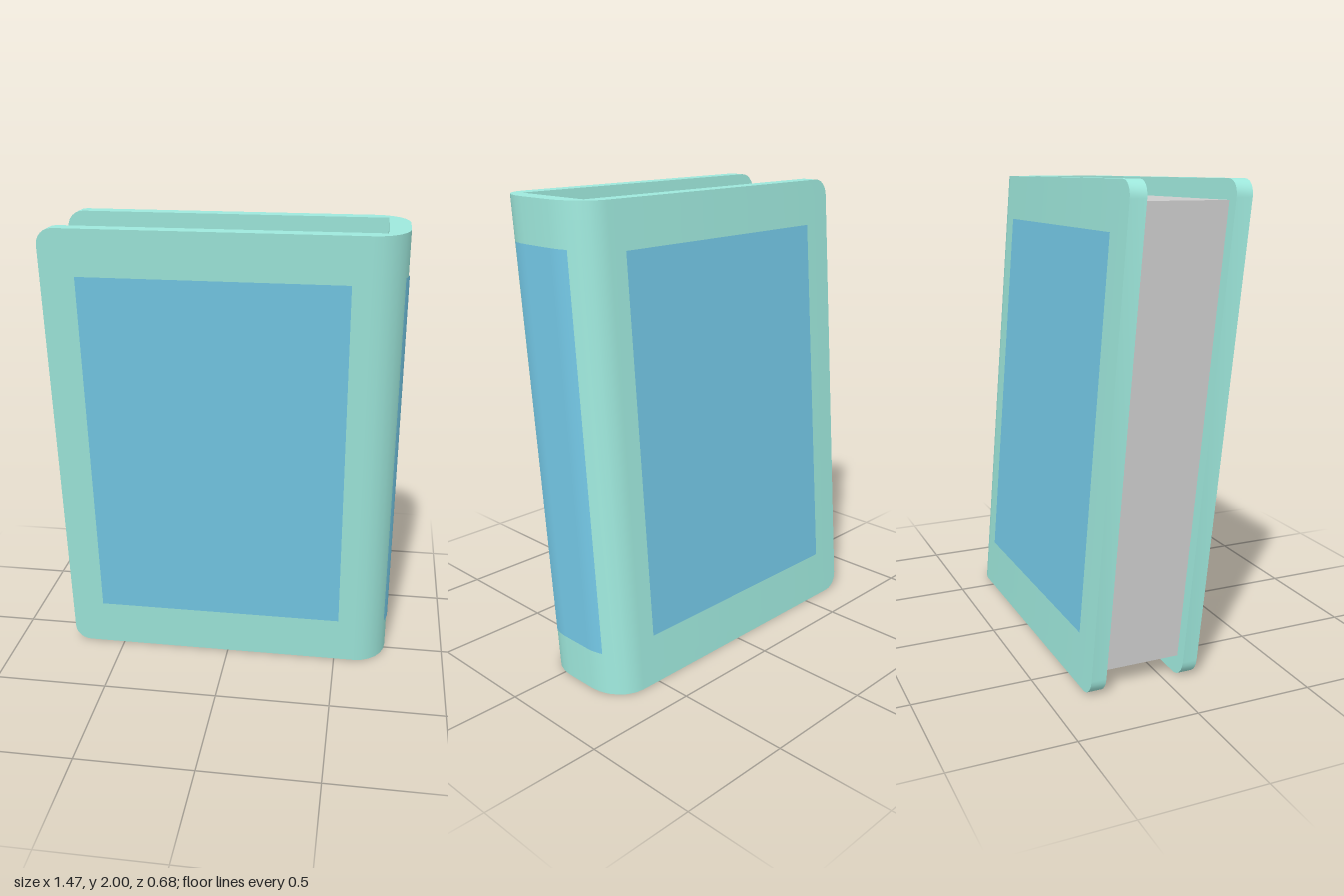
import * as THREE from 'three';
import { toCreasedNormals } from 'three/addons/utils/BufferGeometryUtils.js';

const H = 2;              // book height
const HALF = 0.245;       // nominal half thickness
const INNER = 0.178;      // half thickness between the boards
const FORE = -0.735;      // fore-edge of the boards
const CORNER = 0.07;      // rounded board corners
const SPINE = { x: 0.59, z: 0.075, rx: 0.143, rz: 0.17 };

// Lean the upright book forwards and thicken it slightly towards the top
function lean(geometry) {
  const p = geometry.attributes.position;
  for (let i = 0; i < p.count; i++) {
    const t = p.getY(i) / H;
    const centre = THREE.MathUtils.lerp(-0.104, 0.08, t);
    const half = THREE.MathUtils.lerp(0.234, 0.257, t);
    p.setZ(i, centre + (p.getZ(i) / HALF) * half);
  }
  return geometry;
}

// Point on the rounded spine; a = 90 degrees is the front, -90 the back
function spinePoint(a, grow = 0) {
  return [
    SPINE.x + (SPINE.rx + grow) * Math.cos(a),
    Math.sign(a) * SPINE.z + (SPINE.rz + grow) * Math.sin(a),
  ];
}

// Both boards and the spine: a U-shaped section lofted upwards
function coverGeometry() {
  const outline = [[FORE, HALF]];
  const n = 6;
  for (let i = 0; i <= n; i++) outline.push(spinePoint(Math.PI / 2 * (1 - i / n) + 1e-6));
  for (let i = 0; i <= n; i++) outline.push(spinePoint(-Math.PI / 2 * (i / n) - 1e-6));
  outline.push([FORE, -HALF], [FORE, -INNER], [0.645, -INNER], [0.645, INNER], [FORE, INNER]);
  const shape = new THREE.Shape(outline.map(([x, z]) => new THREE.Vector2(x, -z)));

  // Levels follow the corner arcs at the bottom and the top
  const arc = 6;
  const levels = [];
  for (let i = 0; i <= arc; i++) {
    const a = (Math.PI / 2) * (i / arc);
    levels.push([CORNER * (1 - Math.cos(a)), CORNER * (1 - Math.sin(a))]);
  }
  for (let i = arc; i >= 0; i--) levels.push([H - levels[i][0], levels[i][1]]);

  const steps = levels.length - 1;
  const geo = new THREE.ExtrudeGeometry(shape, { depth: steps, steps, bevelEnabled: false });
  geo.rotateX(-Math.PI / 2);
  const p = geo.attributes.position;
  for (let i = 0; i < p.count; i++) {
    const [y, inset] = levels[Math.round(p.getY(i))];
    p.setY(i, y);
    if (p.getX(i) < FORE + 0.01) p.setX(i, FORE + inset);
  }
  return toCreasedNormals(lean(geo), 0.6);
}

// Coloured panel following a horizontal path of [x, z] points
function panelGeometry(path, y0, y1) {
  const positions = [];
  const index = [];
  path.forEach(([x, z], i) => {
    positions.push(x, y0, z, x, y1, z);
    if (i > 0) {
      const b = 2 * i;
      index.push(b - 2, b, b - 1, b - 1, b, b + 1);
    }
  });
  const geo = new THREE.BufferGeometry();
  geo.setAttribute('position', new THREE.Float32BufferAttribute(positions, 3));
  geo.setIndex(index);
  lean(geo).computeVertexNormals();
  return geo;
}

export function createModel() {
  const book = new THREE.Group();
  book.name = 'book';
  const teal = new THREE.MeshStandardMaterial({ color: 0x9ee8dc });
  const blue = new THREE.MeshStandardMaterial({ color: 0x74c8e6 });
  const grey = new THREE.MeshStandardMaterial({ color: 0xcccccc });
  const add = (name, geometry, material) => {
    const mesh = new THREE.Mesh(geometry, material);
    mesh.name = name;
    book.add(mesh);
  };

  add('cover', coverGeometry(), teal);

  // Page block, set back from the board edges
  const pages = new THREE.BoxGeometry(1.33, 1.84, 2 * INNER);
  pages.translate(-0.02, 1, 0);
  add('pages', toCreasedNormals(lean(pages), 0.5), grey);

  // Panels on the front board, back board and spine
  const lift = 0.002;
  const z = HALF + lift;
  add('frontPanel', panelGeometry([[-0.59, z], [0.515, z]], 0.215, 1.805), blue);
  add('backPanel', panelGeometry([[0.515, -z], [-0.59, -z]], 0.215, 1.805), blue);
  const spinePath = [];
  for (const a of [0.46, 0.31, 0.15, 1e-6, -1e-6, -0.15, -0.31, -0.46]) {
    spinePath.push(spinePoint(a, 0.004));
  }
  add('spinePanel', panelGeometry(spinePath, 0.18, 1.82), blue);

  return book;
}
